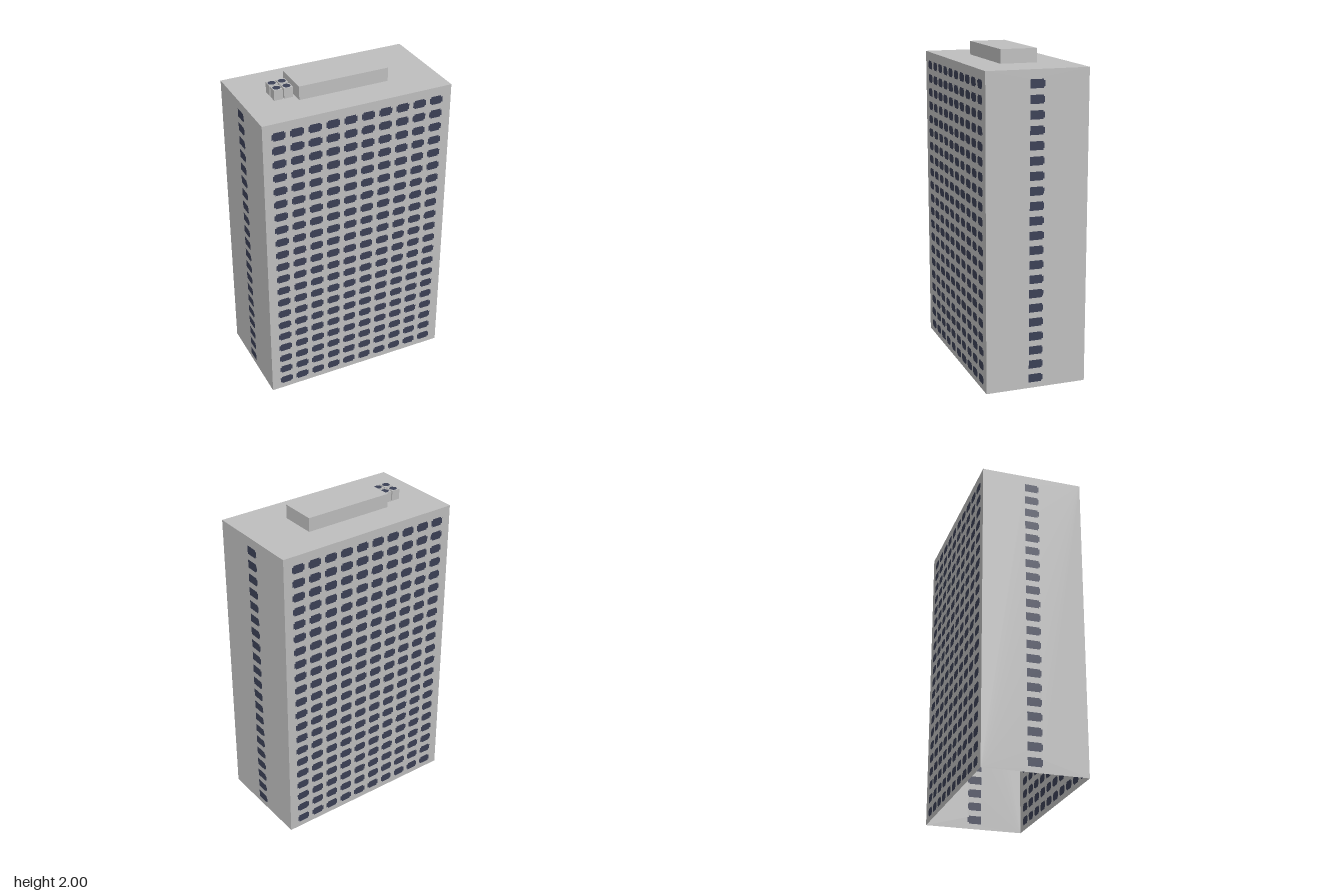
import * as THREE from 'three';

const W = 1.194, D = 0.63, H = 1.915;      // tower width, depth, roof height
const ROWS = 21, ROW0 = 0.061, ROW_STEP = 0.0886;

export function createModel() {
  const concrete = new THREE.MeshStandardMaterial({ color: 0xbfbfbf, side: THREE.DoubleSide });
  concrete.name = 'concrete grey';
  const glass = new THREE.MeshStandardMaterial({ color: 0x3b4056, side: THREE.DoubleSide });
  glass.name = 'dark blue glass';

  const model = new THREE.Group();
  model.name = 'apartmentTower';

  const add = (parent, name, geometry, material, x = 0, y = 0, z = 0) => {
    const mesh = new THREE.Mesh(geometry, material);
    mesh.name = name;
    mesh.position.set(x, y, z);
    parent.add(mesh);
    return mesh;
  };
  const outline = (pts, x, y) => pts.map(([px, py]) => new THREE.Vector2(px + x, py + y));

  // Window outlines: a pane with short side tabs
  const wide = [[-0.042, -0.017], [-0.032, -0.017], [-0.032, -0.026], [0.032, -0.026], [0.032, -0.017], [0.042, -0.017],
    [0.042, 0.017], [0.032, 0.017], [0.032, 0.026], [-0.032, 0.026], [-0.032, 0.017], [-0.042, 0.017]];
  const narrow = [[-0.047, -0.026], [0.034, -0.026], [0.034, -0.017], [0.042, -0.017],
    [0.042, 0.017], [0.034, 0.017], [0.034, 0.026], [-0.047, 0.026]];

  // A thin wall with its windows set flush into matching openings
  function wall(name, width, columns, pane, angle, distance) {
    const group = new THREE.Group();
    group.name = name;
    const h = width / 2;
    const shape = new THREE.Shape(outline([[-h, 0], [h, 0], [h, H], [-h, H]], 0, 0));
    const panes = [];
    for (const x of columns) {
      for (let r = 0; r < ROWS; r++) {
        const pts = outline(pane, x, ROW0 + r * ROW_STEP);
        panes.push(new THREE.Shape(pts));
        shape.holes.push(new THREE.Path(pts));
      }
    }
    add(group, name + 'Panel', new THREE.ShapeGeometry(shape), concrete);
    add(group, name + 'Windows', new THREE.ShapeGeometry(panes), glass);
    group.rotation.y = angle;
    group.position.set(Math.sin(angle) * distance, 0, Math.cos(angle) * distance);
    model.add(group);
  }

  const tenColumns = Array.from({ length: 10 }, (_, i) => (i - 4.5) * 0.111);
  wall('frontWall', W, tenColumns, wide, 0, D / 2);
  wall('backWall', W, tenColumns, wide, Math.PI, D / 2);
  wall('leftWall', D, [0], narrow, Math.PI / 2, W / 2);
  wall('rightWall', D, [0], narrow, -Math.PI / 2, W / 2);

  // Roof slab surface; the tower is open underneath
  const roof = new THREE.PlaneGeometry(W, D).rotateX(-Math.PI / 2);
  add(model, 'roof', roof, concrete, 0, H, 0);

  // Machine room on the roof
  add(model, 'machineRoom', new THREE.BoxGeometry(0.567, 2 - H, 0.228), concrete, 0, (2 + H) / 2, 0);

  // Four cooling units with round fan grilles
  const unitHeight = 0.064;
  for (const x of [-0.388, -0.326]) {
    for (const z of [-0.034, 0.034]) {
      const unit = new THREE.Group();
      unit.name = 'coolingUnit';
      unit.position.set(x, H, z);
      add(unit, 'unitCasing', new THREE.BoxGeometry(0.054, unitHeight, 0.054), concrete, 0, unitHeight / 2, 0);
      const fan = new THREE.CircleGeometry(0.0245, 8, Math.PI / 8).rotateX(-Math.PI / 2);
      add(unit, 'fanGrille', fan, glass, 0, unitHeight + 0.001, 0);
      model.add(unit);
    }
  }

  return model;
}
